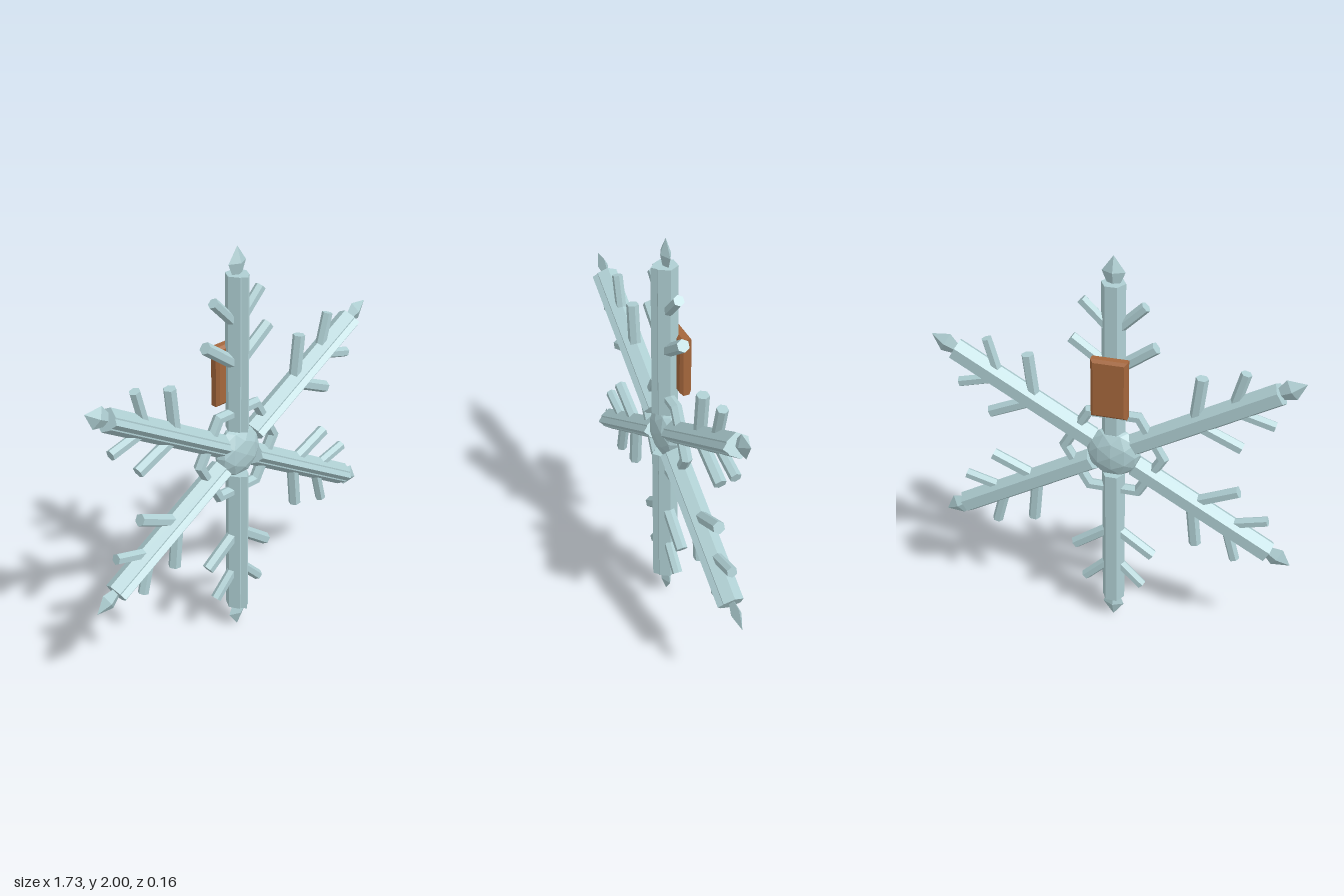
import * as THREE from 'three';

const ice = new THREE.MeshStandardMaterial({ color: 0xafcfd3, flatShading: true });
ice.name = 'paleIce';
const wood = new THREE.MeshStandardMaterial({ color: 0xa5673c, flatShading: true });
wood.name = 'brownClip';

const MID_Z = 0.01; // depth of the snowflake's middle plane

function part(name, geometry, material = ice) {
  const mesh = new THREE.Mesh(geometry, material);
  mesh.name = name;
  return mesh;
}

// Prism along +y from y = 0, with corners to the left and right
function bar(radius, length, sides = 6) {
  const g = new THREE.CylinderGeometry(radius, radius, length, sides);
  return g.rotateY(Math.PI / 2).translate(0, length / 2, 0);
}

function createArm() {
  const arm = new THREE.Group();
  arm.name = 'arm';

  const beam = part('armBeam', bar(0.056, 0.755));
  beam.position.y = 0.118;
  arm.add(beam);

  // Raised rib along the front face
  const rib = part('frontRib', bar(0.022, 0.755, 4));
  rib.position.set(0, 0.118, 0.048);
  arm.add(rib);

  // Flattened crystal point
  const profile = [[0, 0.84], [0.026, 0.86], [0.053, 0.925], [0, 1]]
    .map(([r, y]) => new THREE.Vector2(r, y));
  const tip = part('crystalTip', new THREE.LatheGeometry(profile, 4));
  tip.scale.z = 0.48;
  arm.add(tip);

  // Mirrored pairs of side branches
  const branches = [
    { name: 'innerBranch', y: 0.438, length: 0.241, radius: 0.03, angle: 54 },
    { name: 'outerBranch', y: 0.63, length: 0.205, radius: 0.026, angle: 45 },
  ];
  for (const b of branches) {
    for (const side of [-1, 1]) {
      const branch = part(b.name, bar(b.radius, b.length));
      branch.position.y = b.y;
      branch.rotation.z = side * THREE.MathUtils.degToRad(b.angle);
      arm.add(branch);
    }
  }
  return arm;
}

export function createModel() {
  const model = new THREE.Group();
  model.name = 'snowflakeOrnament';

  const flake = new THREE.Group();
  flake.name = 'snowflake';
  flake.position.set(0, 1, MID_Z);
  model.add(flake);

  // Six equal arms
  for (let i = 0; i < 6; i++) {
    const arm = createArm();
    arm.rotation.z = i * Math.PI / 3;
    flake.add(arm);
  }

  // Faceted, flattened hub
  const hub = part('hub', new THREE.IcosahedronGeometry(0.13, 1));
  hub.scale.z = 0.5;
  flake.add(hub);

  // Hexagonal ring joining the arms
  flake.add(part('hexRing', new THREE.TorusGeometry(0.237, 0.029, 6, 6)));

  // Chamfered clip on the back of the top arm
  const bevel = 0.013, w = 0.085 - bevel, h = 0.147 - bevel;
  const outline = new THREE.Shape([
    new THREE.Vector2(-w, -h), new THREE.Vector2(w, -h),
    new THREE.Vector2(w, h), new THREE.Vector2(-w, h),
  ]);
  const clip = part('backClip', new THREE.ExtrudeGeometry(outline, {
    depth: 0.056 - 2 * bevel, bevelEnabled: true,
    bevelSize: bevel, bevelThickness: bevel, bevelSegments: 1,
  }), wood);
  clip.position.set(0, 1.382, -0.083 + bevel);
  model.add(clip);

  return model;
}
